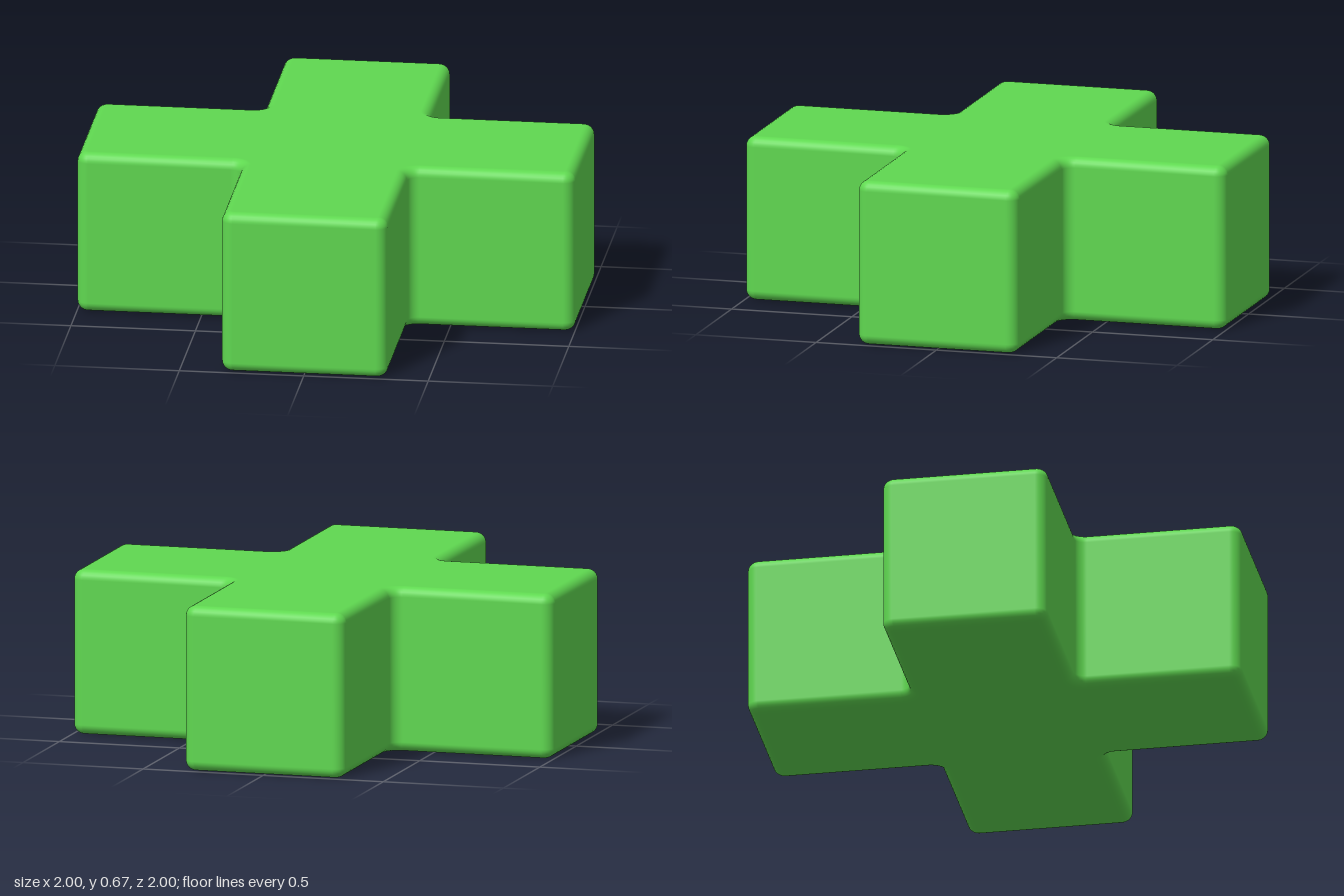
import * as THREE from 'three';
import { mergeVertices } from 'three/addons/utils/BufferGeometryUtils.js';

const HALF = 0.333;   // half the width of an arm, also half the height
const CORNER = 0.046; // radius of the upright corners
const BEVEL = 0.04;   // radius of the top and bottom edges

// Plan of the plus: one arm with its inner fillet, turned four times
function plusShape() {
  const shape = new THREE.Shape();
  const r = CORNER;
  for (let k = 0; k < 4; k++) {
    const turn = (k * Math.PI) / 2;
    const corner = (x, y, from, to, clockwise) => {
      const c = new THREE.Vector2(x, y).rotateAround(new THREE.Vector2(), turn);
      shape.absarc(c.x, c.y, r, from + turn, to + turn, clockwise);
    };
    corner(HALF + r, -HALF - r, Math.PI, Math.PI / 2, true);
    corner(1 - r, -HALF + r, -Math.PI / 2, 0, false);
    corner(1 - r, HALF - r, 0, Math.PI / 2, false);
  }
  shape.closePath();
  return shape;
}

export function createModel() {
  const depth = 2 * (HALF - BEVEL);
  let geometry = new THREE.ExtrudeGeometry(plusShape(), {
    depth, curveSegments: 6, steps: 1,
    bevelEnabled: true, bevelThickness: BEVEL, bevelSize: BEVEL,
    bevelOffset: -BEVEL, bevelSegments: 6,
  });
  geometry.rotateX(-Math.PI / 2).translate(0, BEVEL, 0);

  // Smooth normals all round, kept exactly flat on the caps and upright on the walls
  geometry.deleteAttribute('uv');
  geometry.deleteAttribute('normal');
  geometry = mergeVertices(geometry, 1e-4);
  geometry.computeVertexNormals();
  const { position, normal } = geometry.attributes;
  const n = new THREE.Vector3();
  for (let i = 0; i < position.count; i++) {
    const fromMiddle = position.getY(i) - HALF;
    n.fromBufferAttribute(normal, i);
    if (Math.abs(fromMiddle) > HALF - 1e-4) n.set(0, Math.sign(fromMiddle), 0);
    else if (Math.abs(fromMiddle) < depth / 2 + 1e-4) n.setY(0).normalize();
    normal.setXYZ(i, n.x, n.y, n.z);
  }

  const plus = new THREE.Mesh(geometry, new THREE.MeshStandardMaterial({ color: 0x5fd850 }));
  plus.name = 'plusBlock';
  const group = new THREE.Group();
  group.name = 'roundedPlus';
  group.add(plus);
  return group;
}
